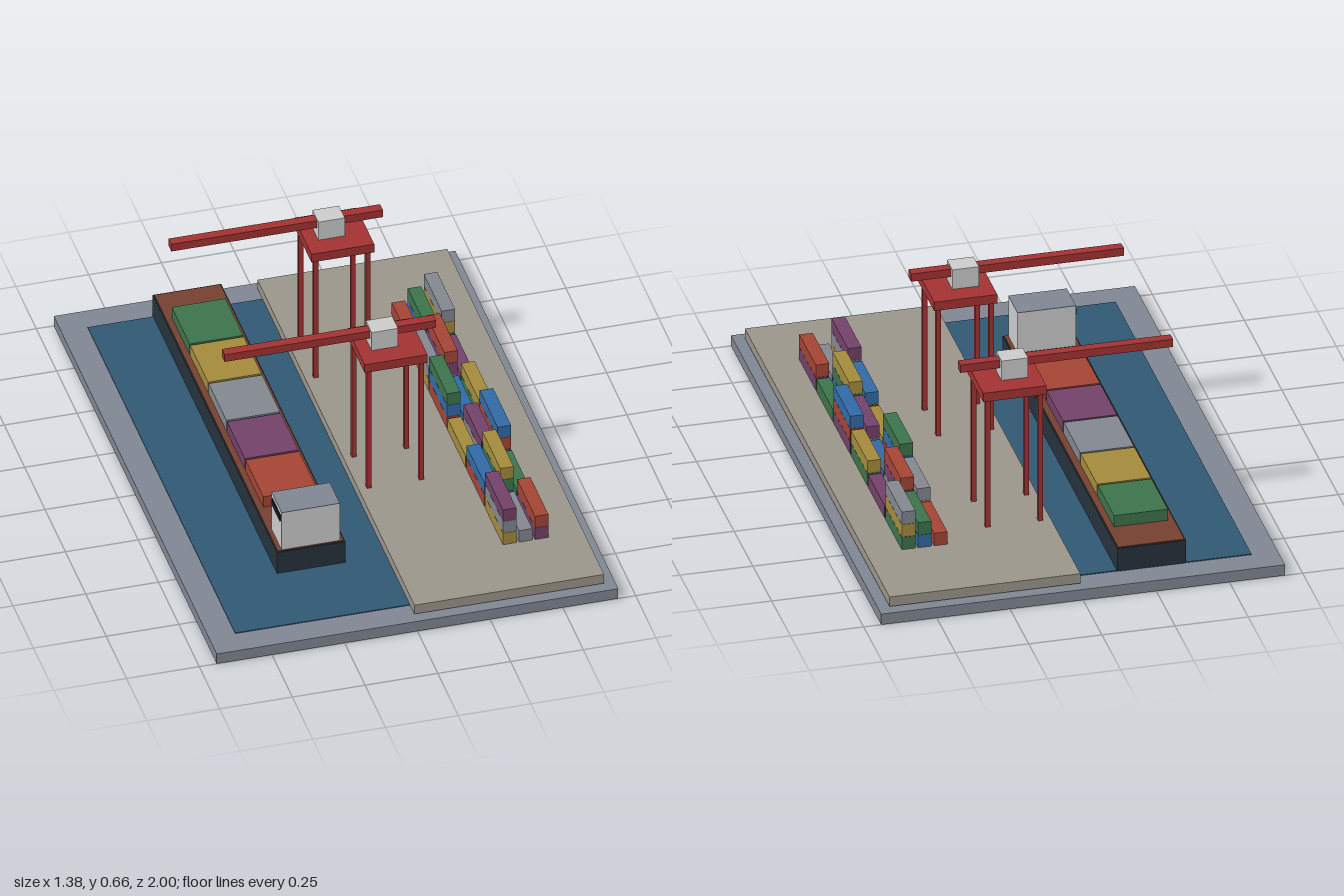
import * as THREE from 'three';

const PALETTE = [0xa34535, 0x3269a5, 0x3c734b, 0xa38a3c, 0x82878f, 0x734169];
const SLATE = 0x808692, CRANE_RED = 0xa33232, PALE = 0xcccccc;

const materials = new Map();
function paint(color) {
  if (!materials.has(color)) materials.set(color, new THREE.MeshStandardMaterial({ color }));
  return materials.get(color);
}

// Box given by its [min, max] range on each axis
function block(parent, name, color, [x0, x1], [y0, y1], [z0, z1]) {
  const mesh = new THREE.Mesh(new THREE.BoxGeometry(x1 - x0, y1 - y0, z1 - z0), paint(color));
  mesh.position.set((x0 + x1) / 2, (y0 + y1) / 2, (z0 + z1) / 2);
  mesh.name = name;
  parent.add(mesh);
  return mesh;
}

const around = (centre, size) => [centre - size / 2, centre + size / 2];

function group(name) {
  const g = new THREE.Group();
  g.name = name;
  return g;
}

// Ship with hull, deck, bridge and one row of wide cargo blocks
function createShip() {
  const ship = group('cargoShip');
  block(ship, 'hull', 0x25323b, [-0.375, -0.14], [0.042, 0.127], [-0.91, 0.616]);
  block(ship, 'deck', 0x744030, [-0.371, -0.144], [0.125, 0.13], [-0.905, 0.611]);
  block(ship, 'bridge', PALE, [-0.357, -0.157], [0.129, 0.279], [0.485, 0.608]);
  block(ship, 'bridgeRoof', SLATE, [-0.357, -0.157], [0.279, 0.281], [0.485, 0.608]);
  block(ship, 'bridgeWindow', 0x15191d, [-0.361, -0.355], [0.239, 0.264], around(0.547, 0.1));
  for (let i = 0; i < 5; i++) {
    block(ship, 'shipContainer', PALETTE[(i + 2) % 6],
      [-0.35, -0.166], [0.129, 0.172], around(-0.656 + i * 0.226, 0.218));
  }
  return ship;
}

// Gantry crane on four legs, its boom reaching over the water
function createCrane(z) {
  const crane = group('gantryCrane');
  for (const x of [0.036, 0.216]) {
    for (const dz of [-0.092, 0.092]) {
      block(crane, 'craneLeg', CRANE_RED, around(x, 0.016), [0.08, 0.558], around(dz, 0.016));
    }
  }
  block(crane, 'cranePlatform', CRANE_RED, [0.018, 0.234], [0.557, 0.59], around(0, 0.216));
  block(crane, 'craneCabin', PALE, [0.062, 0.153], [0.59, 0.663], around(0, 0.072));
  block(crane, 'craneBoom', CRANE_RED, [-0.438, 0.289], [0.627, 0.656], around(0, 0.034));
  crane.position.z = z;
  return crane;
}

// Yard of containers: six rows, three columns, stacked one to three high
function createYard() {
  const yard = group('containerYard');
  for (let row = 0; row < 6; row++) {
    for (let col = 0; col < 3; col++) {
      const height = 1 + (2 + col + 2 * row) % 3;
      for (let level = 0; level < height; level++) {
        const y = 0.08 + level * 0.0475;
        block(yard, 'yardContainer', PALETTE[(3 + 3 * row + col + level) % 6],
          around(0.398 + col * 0.055, 0.046), [y, y + 0.0465], around(0.6 - row * 0.229, 0.22));
      }
    }
  }
  return yard;
}

export function createModel() {
  const model = group('containerPort');
  block(model, 'base', SLATE, [-0.69, 0.69], [0, 0.04], [-1, 1]);
  block(model, 'water', 0x2f5873, [-0.6, 0.6], [0.036, 0.043], [-0.905, 0.905]);
  block(model, 'quay', 0x9a958a, [0, 0.652], [0.044, 0.08], [-0.963, 0.963]);
  model.add(createShip(), createYard());
  for (const z of [0.18, -0.474]) model.add(createCrane(z));
  return model;
}
